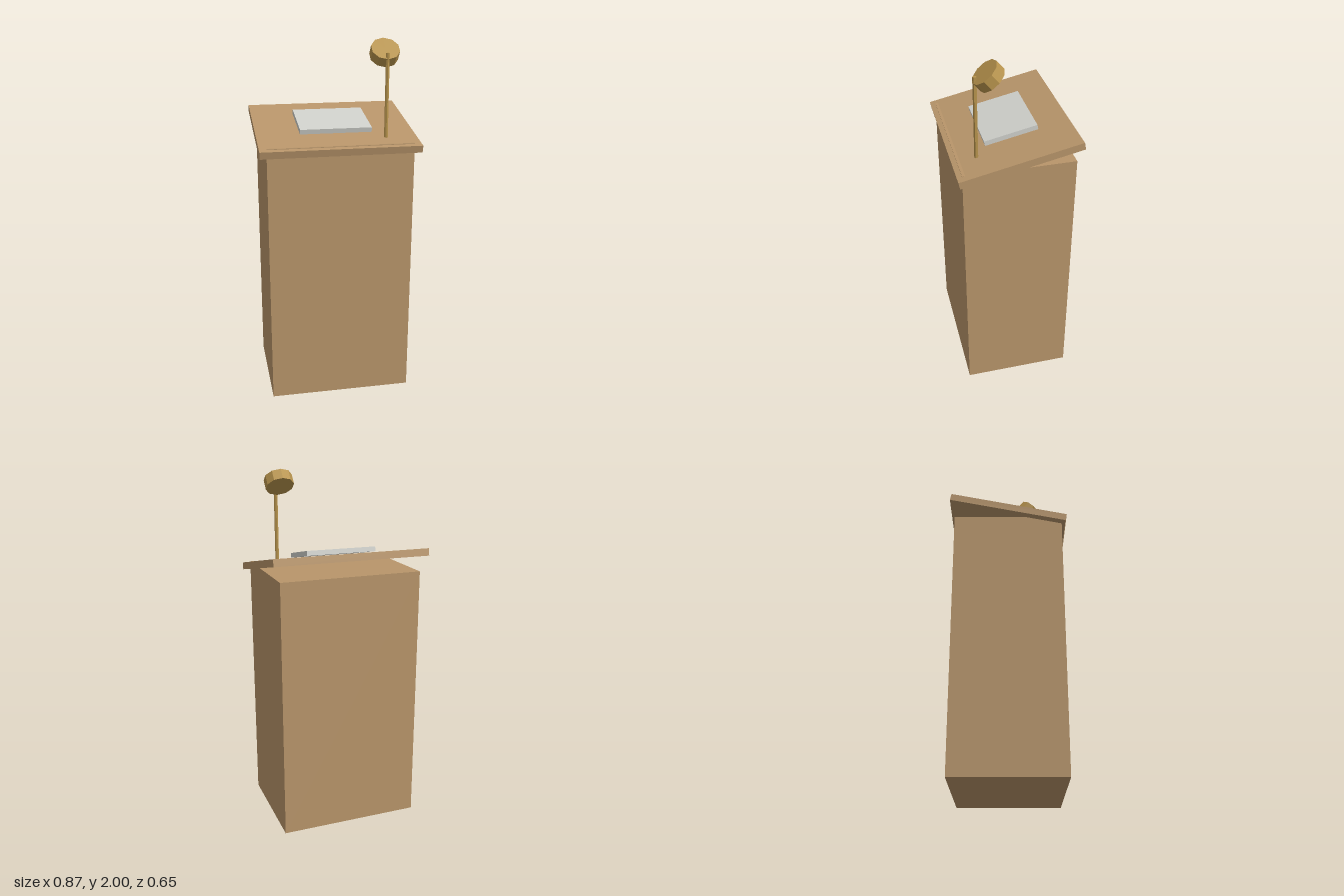
import * as THREE from 'three';

export function createModel() {
  const group = new THREE.Group();
  const material = (name, color) => {
    const m = new THREE.MeshStandardMaterial({ color });
    m.name = name;
    return m;
  };
  const wood = material('wood', 0xb8956a);
  const brass = material('brass', 0xb8944d);
  const paper = material('paper', 0xcfd0cb);
  brass.flatShading = true;

  const add = (name, geometry, mat, x, y, z, tilt = 0) => {
    const mesh = new THREE.Mesh(geometry, mat);
    mesh.name = name;
    mesh.position.set(x, y, z);
    mesh.rotation.x = tilt;
    group.add(mesh);
  };

  // Upright cabinet, its front edge just breaking through the desk as a ledge
  const bodyHeight = 1.4635;
  add('body', new THREE.BoxGeometry(0.796, bodyHeight, 0.6), wood, 0, bodyHeight / 2, 0);

  // Sloping desk with the papers resting on it
  const slope = THREE.MathUtils.degToRad(12);
  add('desktop', new THREE.BoxGeometry(0.874, 0.04, 0.66), wood, 0, 1.5035, 0, slope);
  add('papers', new THREE.BoxGeometry(0.398, 0.0265, 0.292), paper, 0, 1.544, -0.002, slope);

  // Reading lamp: thin pole and a tilted drum shade
  add('lampPole', new THREE.CylinderGeometry(0.0105, 0.0105, 0.455, 6), brass, 0.264, 1.7025, 0.199);
  add('lampHead', new THREE.CylinderGeometry(0.079, 0.079, 0.06, 10), brass,
    0.264, 1.926, 0.131, THREE.MathUtils.degToRad(40));

  return group;
}
